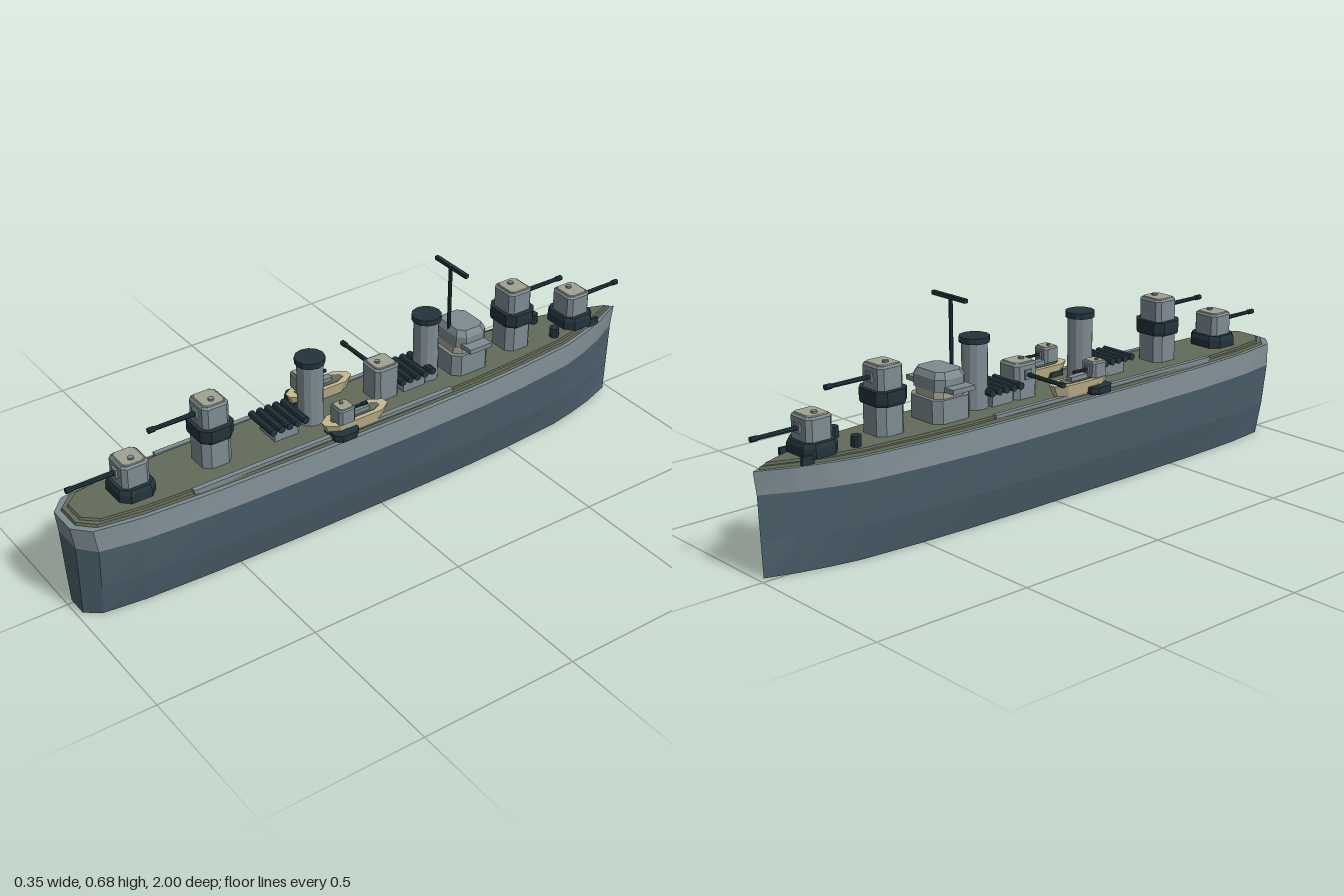
import * as THREE from 'three';

const mat = (name, color) => Object.assign(new THREE.MeshStandardMaterial({ color, flatShading: true }), { name });
const M = {
  lowerHull: mat('lower hull blue', 0x4b606c),
  grey: mat('ship grey', 0x7d8b91),
  dark: mat('dark steel', 0x22343b),
  deck: mat('deck green', 0x626b58),
  roof: mat('pale roof', 0xa0a391),
  wood: mat('boat cream', 0xc4b88f),
};

// Loft a closed outline of [x, z] through levels of [y, scaleX, scaleZ]
function loft(outline, levels, caps = true) {
  const pos = [];
  const n = outline.length;
  const rings = levels.map(([y, sx, sz = sx]) => outline.map(([x, z]) => [x * sx, y, z * sz]));
  const tri = (...p) => p.forEach((v) => pos.push(...v));
  for (let k = 0; k < rings.length - 1; k++) {
    for (let i = 0; i < n; i++) {
      const j = (i + 1) % n;
      const [a, b, c, d] = [rings[k][i], rings[k][j], rings[k + 1][j], rings[k + 1][i]];
      tri(b, a, d);
      tri(b, d, c);
    }
  }
  if (caps) {
    const lo = rings[0], hi = rings[rings.length - 1];
    for (let i = 0; i < n; i++) {
      const j = (i + 1) % n;
      tri([0, lo[0][1], 0], lo[i], lo[j]);
      tri([0, hi[0][1], 0], hi[j], hi[i]);
    }
  }
  const g = new THREE.BufferGeometry();
  g.setAttribute('position', new THREE.Float32BufferAttribute(pos, 3));
  g.computeVertexNormals();
  return g;
}

// Rectangle outline with cut corners
const cutRect = (w, d, c) => [[w - c, -d], [w, -d + c], [w, d - c], [w - c, d],
  [-w + c, d], [-w, d - c], [-w, -d + c], [-w + c, -d]];

function add(parent, name, geo, material, x = 0, y = 0, z = 0) {
  const m = new THREE.Mesh(geo, material);
  m.name = name;
  m.position.set(x, y, z);
  parent.add(m);
  return m;
}
const box = (w, h, d) => new THREE.BoxGeometry(w, h, d);
const cyl = (r, h, s = 12, r2 = r) => new THREE.CylinderGeometry(r2, r, h, s);

// Gun house with its barrel along +z
function gunHouse(name, w, d, h, reach, r) {
  const g = new THREE.Group();
  g.name = name;
  add(g, 'gunHouse', loft(cutRect(w, d, w * 0.28), [[0, 1], [h * 0.88, 1], [h * 0.96, 0.88]]), M.grey);
  add(g, 'gunHouseRoof', loft(cutRect(w * 0.84, d * 0.8, w * 0.22), [[h * 0.95, 1], [h, 0.95]]), M.roof);
  add(g, 'roofHatch', cyl(w * 0.2, 0.008, 8), M.grey, w * 0.3, h + 0.002, 0);
  add(g, 'mantlet', box(w * 0.55, h * 0.4, 0.012), M.grey, 0, h * 0.5, d);
  add(g, 'barrel', cyl(r, reach - d, 8, r * 0.85).rotateX(Math.PI / 2), M.dark, 0, h * 0.5, (reach + d) / 2);
  add(g, 'muzzle', cyl(r * 1.15, 0.02, 8).rotateX(Math.PI / 2), M.dark, 0, h * 0.5, reach - 0.01);
  return g;
}

export function createModel() {
  const model = new THREE.Group();
  model.name = 'warship';
  const ship = new THREE.Group();
  ship.name = 'ship';
  ship.position.x = 0.0225;
  model.add(ship);

  // Hull: half outline from bow to stern, mirrored
  const half = [[0.05, -0.9], [0.082, -0.81], [0.107, -0.72], [0.128, -0.52], [0.139, -0.35],
    [0.1445, -0.1], [0.1445, 0.3], [0.138, 0.6], [0.124, 0.82], [0.1, 0.955], [0.049, 1]];
  const plan = [[0, -1], ...half, ...half.slice().reverse().map(([x, z]) => [-x, z])];
  add(ship, 'lowerHull', loft(plan, [[0, 0.675, 0.982], [0.108, 0.87, 0.986], [0.24, 1, 0.991]]), M.lowerHull);
  add(ship, 'upperHull', loft(plan, [[0.24, 1, 0.991], [0.309, 0.94, 1]]), M.grey);
  add(ship, 'deckEdge', loft(plan, [[0.305, 0.85, 0.982], [0.318, 0.83, 0.978]]), M.deck);
  add(ship, 'deck', loft(plan, [[0.317, 0.75, 0.965], [0.325, 0.74, 0.96]]), M.deck);
  for (const s of [-1, 1]) {
    add(ship, 'sideRail', box(0.016, 0.014, 0.9), M.grey, s * 0.108, 0.322, 0.2);
    add(ship, 'anchorFitting', box(0.01, 0.025, 0.04), M.dark, s * 0.052, 0.322, -0.86);
    add(ship, 'capstan', cyl(0.015, 0.034, 10), M.dark, s * 0.052, 0.34, -0.7);
  }

  // Main guns: [z, turn, raised]
  for (const [z, turn, raised] of [[0.785, 0, 0], [0.525, 0, 1], [-0.565, Math.PI, 1], [-0.808, Math.PI, 0]]) {
    const y = raised ? 0.455 : 0.362;
    const g = gunHouse('mainGun', 0.0465, 0.043, 0.073, 0.195, 0.0075);
    g.position.set(0, y, z);
    g.rotation.y = turn;
    ship.add(g);
    const ring = cutRect(0.062, 0.055, 0.024);
    if (raised) {
      add(ship, 'gunTower', loft(cutRect(0.05, 0.048, 0.02), [[0.32, 1], [0.42, 1]]), M.grey, 0, 0, z);
      add(ship, 'gunCollar', loft(ring, [[0.412, 0.95], [0.422, 1], [0.456, 1]]), M.dark, 0, 0, z);
    } else {
      add(ship, 'gunBase', loft(ring, [[0.322, 1.04], [0.35, 1.04], [0.363, 0.95]]), M.dark, 0, 0, z);
    }
  }

  // Midship gun trained to the right side
  const mid = gunHouse('midshipGun', 0.043, 0.043, 0.073, 0.2, 0.0075);
  mid.position.set(0, 0.362, -0.065);
  mid.rotation.y = -Math.PI / 2;
  ship.add(mid);
  add(ship, 'midshipGunBase', loft(cutRect(0.043, 0.043, 0.014), [[0.32, 1], [0.363, 1]]), M.grey, 0, 0, -0.065);

  // Funnels
  for (const z of [0.187, -0.232]) {
    add(ship, 'funnel', cyl(0.039, 0.21, 12), M.grey, 0, 0.425, z);
    add(ship, 'funnelCap', cyl(0.0455, 0.018, 12), M.dark, 0, 0.531, z);
  }

  // Tube racks lying across the deck
  for (const z of [0.297, -0.16]) {
    add(ship, 'tubeRackBase', box(0.08, 0.042, 0.08), M.grey, 0, 0.343, z);
    for (let i = -2; i <= 2; i++) {
      add(ship, 'tube', cyl(0.0115, 0.122, 8).rotateZ(Math.PI / 2), M.dark, 0, 0.374, z + i * 0.0275);
    }
  }

  // Bridge
  add(ship, 'bridgeBase', loft(cutRect(0.07, 0.068, 0.022), [[0.32, 1], [0.395, 1]]), M.grey, 0, 0, -0.362);
  add(ship, 'bridgeWindowBand', loft(cutRect(0.06, 0.056, 0.02), [[0.394, 1], [0.418, 1]]), M.roof, 0, 0, -0.362);
  add(ship, 'bridgeWings', box(0.212, 0.015, 0.08), M.grey, 0, 0.425, -0.36);
  add(ship, 'bridgeTop', loft(cutRect(0.07, 0.055, 0.022), [[0.417, 1], [0.453, 1], [0.472, 0.82]]), M.grey, 0, 0, -0.365);

  // Mast
  add(ship, 'mast', cyl(0.006, 0.35, 8), M.dark, 0, 0.5, -0.318);
  add(ship, 'mastYard', box(0.147, 0.012, 0.012), M.dark, 0, 0.669, -0.322);

  // Side boats and small guns
  const boatPlan = [[0.012, -0.11], [0.034, -0.075], [0.034, 0.075], [0.012, 0.11],
    [-0.012, 0.11], [-0.034, 0.075], [-0.034, -0.075], [-0.012, -0.11]];
  for (const s of [-1, 1]) {
    add(ship, 'sponson', loft(cutRect(0.045, 0.042, 0.018), [[0.318, 0.95], [0.326, 1], [0.341, 1]]), M.dark, s * 0.106, 0, 0.15);
    add(ship, 'boat', loft(boatPlan, [[0.325, 0.75, 0.85], [0.363, 1]]), M.wood, s * 0.093, 0, 0.095);
    add(ship, 'boatFloor', loft(boatPlan, [[0.36, 0.6, 0.75], [0.365, 0.6, 0.75]]), M.deck, s * 0.093, 0, 0.095);
    add(ship, 'boatCabin', box(0.022, 0.016, 0.075), M.grey, s * 0.095, 0.37, 0.09);
    add(ship, 'smallGunPost', cyl(0.02, 0.04, 8), M.grey, s * 0.104, 0.355, 0.146);
    const g = gunHouse('smallGun', 0.029, 0.028, 0.049, 0.085, 0.005);
    g.position.set(s * 0.106, 0.368, 0.146);
    g.rotation.y = Math.PI;
    ship.add(g);
  }
  return model;
}
